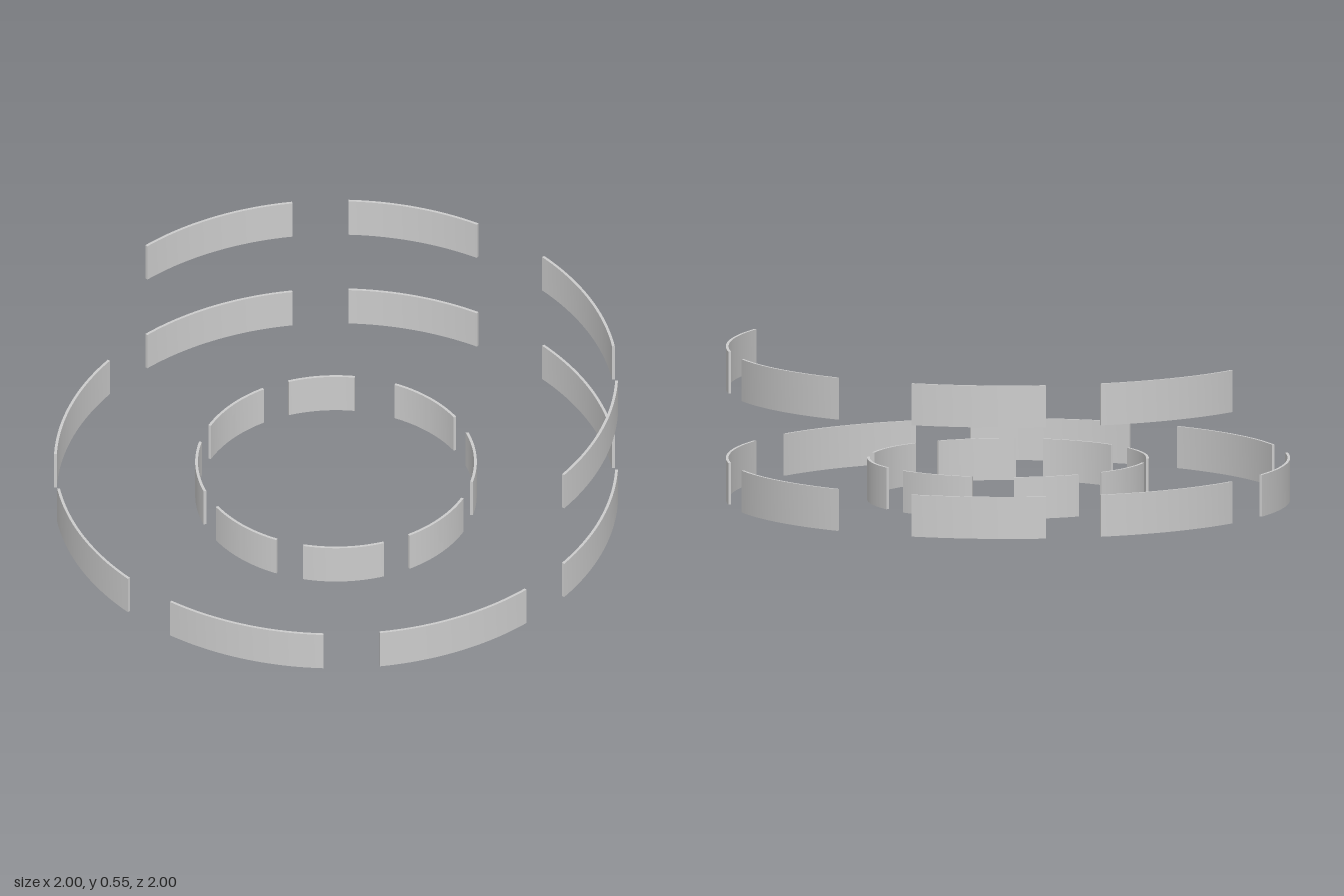
import * as THREE from 'three';
import { toCreasedNormals } from 'three/addons/utils/BufferGeometryUtils.js';

const HEIGHT = 0.15, THICKNESS = 0.01;
const HALF = 16.76;   // half angle of a full panel, degrees
const SHORT = 5.75;   // angle missing from the start of a short panel
const material = new THREE.MeshStandardMaterial({ color: 0xcccccc });

// Curved wall panel; angles in degrees from +x towards -z
function panel(name, radius, start, end, y) {
  const a = THREE.MathUtils.degToRad(start), b = THREE.MathUtils.degToRad(end);
  const shape = new THREE.Shape();
  shape.absarc(0, 0, radius, a, b, false);
  shape.absarc(0, 0, radius - THICKNESS, b, a, true);
  shape.closePath();
  const extruded = new THREE.ExtrudeGeometry(shape, { depth: HEIGHT, bevelEnabled: false, curveSegments: 16 });
  extruded.rotateX(-Math.PI / 2);
  const mesh = new THREE.Mesh(toCreasedNormals(extruded, 0.5), material);
  mesh.name = name;
  mesh.position.y = y;
  return mesh;
}

// Ring of panels at 45 degree steps; one of them may be shortened
function ring(name, radius, offset, y, indices, shortIndex) {
  const group = new THREE.Group();
  group.name = name;
  for (const i of indices) {
    const mid = offset + i * 45;
    const start = mid - HALF + (i === shortIndex ? SHORT : 0);
    group.add(panel(`${name}Panel${i + 1}`, radius, start, mid + HALF, y));
  }
  return group;
}

export function createModel() {
  const model = new THREE.Group();
  model.name = 'panelRings';
  const all = [0, 1, 2, 3, 4, 5, 6, 7];
  // Full outer ring, with the half ring floating above its left side
  model.add(ring('outerRing', 1.004, 22.5, 0, all, 0));
  model.add(ring('upperHalfRing', 1.004, 22.5, 0.4, [6, 7, 0, 1], 0));
  // Inner ring, turned half a step
  model.add(ring('innerRing', 0.501, 0, 0, all, 1));
  return model;
}
